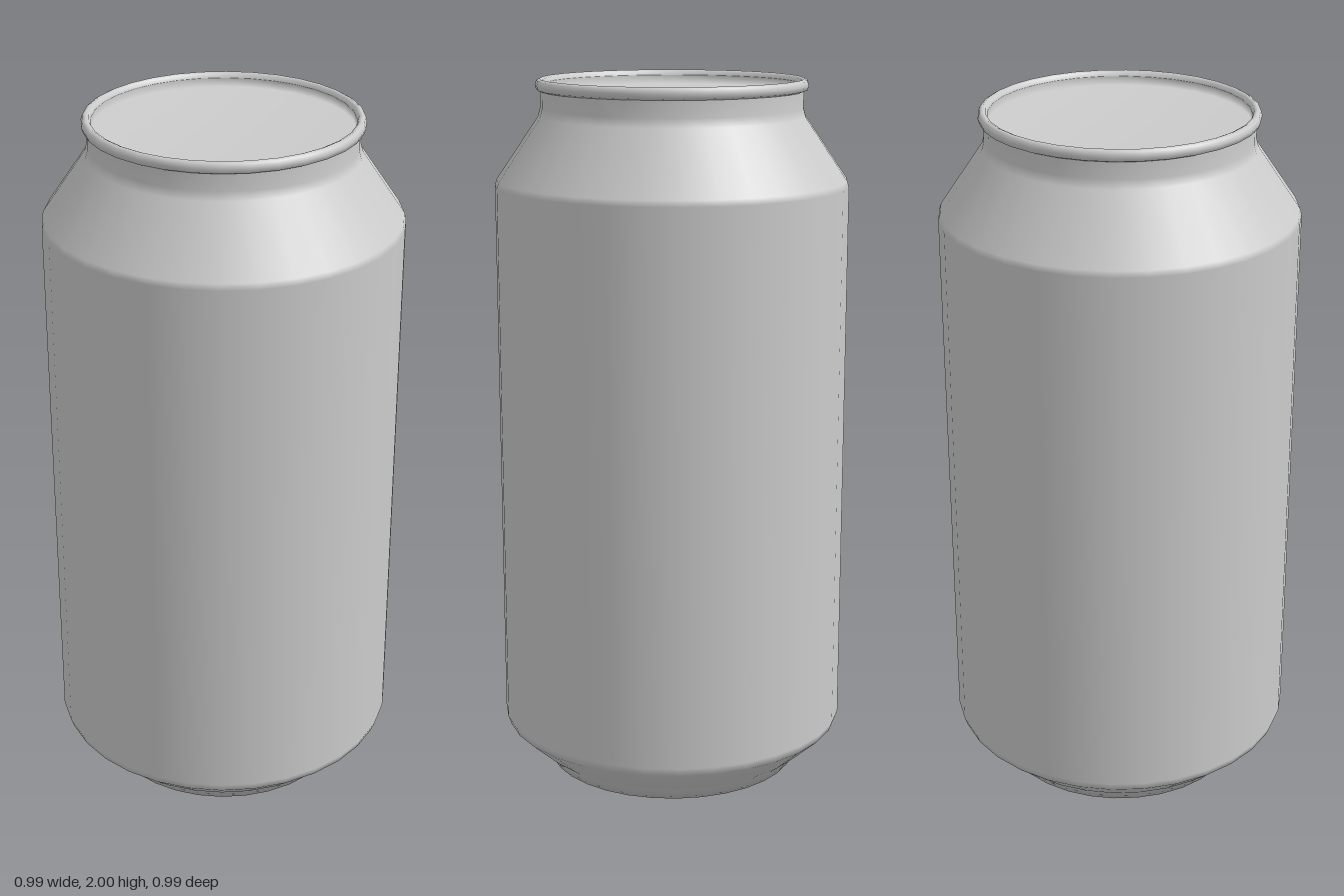
import * as THREE from 'three';

const SIDES = 32;

export function createModel() {
  const group = new THREE.Group();
  group.name = 'drinkCan';
  const material = new THREE.MeshStandardMaterial({ color: 0xcccccc, side: THREE.DoubleSide });

  // Smooth turned part from [radius, height] pairs, running bottom to top on the outside
  const turned = (name, profile) => {
    const points = profile.map(([r, y]) => new THREE.Vector2(r, y));
    const mesh = new THREE.Mesh(new THREE.LatheGeometry(points, SIDES), material);
    mesh.name = name;
    group.add(mesh);
  };

  // Flat base, bevelled foot, straight wall, sloping shoulder and short neck
  turned('body', [
    [0, 0], [0.362, 0], [0.385, 0.035], [0.41, 0.055], [0.488, 0.125], [0.497, 0.15],
    [0.497, 1.705], [0.492, 1.722], [0.374, 1.895], [0.367, 1.92], [0.367, 1.97],
  ]);

  // Rolled lip around the top
  turned('rim', [
    [0.367, 1.966], [0.377, 1.97], [0.381, 1.983], [0.377, 1.995],
    [0.368, 2], [0.359, 1.996], [0.355, 1.985],
  ]);

  // Lid set just inside the lip
  turned('lid', [[0.355, 1.985], [0.355, 1.96], [0, 1.96]]);

  return group;
}
